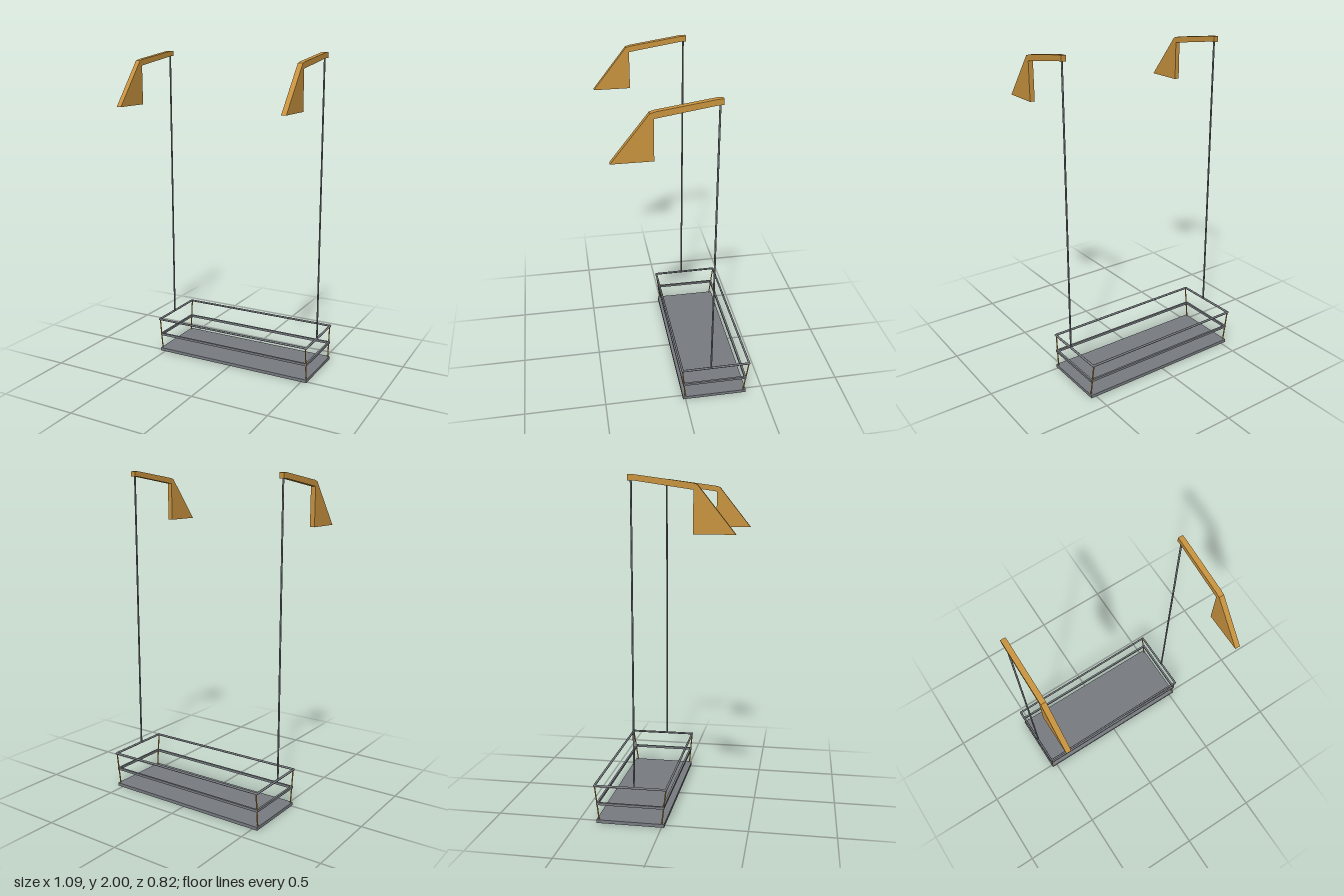
import * as THREE from 'three';

export function createModel() {
  const model = new THREE.Group();
  model.name = 'hangingPlatform';
  const mat = (name, color) => Object.assign(new THREE.MeshStandardMaterial({ color }), { name });
  const steel = mat('steel grey', 0x777b80);
  const wood = mat('golden wood', 0xc8933f);

  const add = (name, geometry, material, parent = model) => {
    const mesh = new THREE.Mesh(geometry, material);
    mesh.name = name;
    parent.add(mesh);
    return mesh;
  };
  // Round bar between two points
  const bar = (name, a, b, radius, material, parent) => {
    const from = new THREE.Vector3(...a), to = new THREE.Vector3(...b);
    const dir = to.clone().sub(from);
    const mesh = add(name, new THREE.CylinderGeometry(radius, radius, dir.length(), 8), material, parent);
    mesh.position.copy(from).add(to).multiplyScalar(0.5);
    mesh.quaternion.setFromUnitVectors(new THREE.Vector3(0, 1, 0), dir.normalize());
  };
  const box = (name, w, h, d, x, y, z, material, parent) => {
    add(name, new THREE.BoxGeometry(w, h, d), material, parent).position.set(x, y, z);
  };

  // Platform floor
  box('floor', 1.07, 0.02, 0.405, 0, 0.01, -0.187, steel);

  // Square middle rail
  const middle = new THREE.Group();
  middle.name = 'middleRail';
  model.add(middle);
  for (const z of [0.009, -0.383]) box('longRail', 1.07, 0.015, 0.012, 0, 0.119, z, steel, middle);
  for (const x of [-0.529, 0.529]) box('endRail', 0.012, 0.015, 0.38, x, 0.119, -0.187, steel, middle);

  // Slightly skewed top rail
  const top = new THREE.Group();
  top.name = 'topRail';
  model.add(top);
  const corners = [[-0.535, -0.398], [0.528, -0.404], [0.531, 0.019], [-0.532, 0.026]];
  corners.forEach(([x, z], i) => {
    const [nx, nz] = corners[(i + 1) % 4];
    bar('topRailBar', [x, 0.23, z], [nx, 0.23, nz], 0.007, steel, top);
    add('railCorner', new THREE.SphereGeometry(0.007, 8, 6), steel, top).position.set(x, 0.23, z);
    // Leaning corner post
    const footZ = z < -0.2 ? -0.373 : 0.0;
    bar('cornerPost', [Math.sign(x) * 0.528, 0.015, footZ], [x * 0.992, 0.228, z], 0.004, wood);
  });

  // Wall brackets with sloping arms, and hanging rods
  const profile = new THREE.Shape([
    [0.408, 1.685], [0.2, 1.947], [0.172, 1.955], [-0.145, 2.0], [-0.177, 2.0],
    [-0.177, 1.968], [-0.15, 1.968], [0.18, 1.918], [0.18, 1.685],
  ].map(([z, y]) => new THREE.Vector2(-z, y)));
  const bracket = new THREE.ExtrudeGeometry(profile, { depth: 0.03, bevelEnabled: false });
  bracket.translate(0, 0, -0.015).rotateY(Math.PI / 2);
  for (const [side, x] of [['right', -0.53], ['left', 0.53]]) {
    add(side + 'Bracket', bracket, wood).position.x = x;
    bar(side + 'HangingRod', [x, 0.23, -0.16], [x, 1.975, -0.16], 0.0055, steel);
  }
  return model;
}
